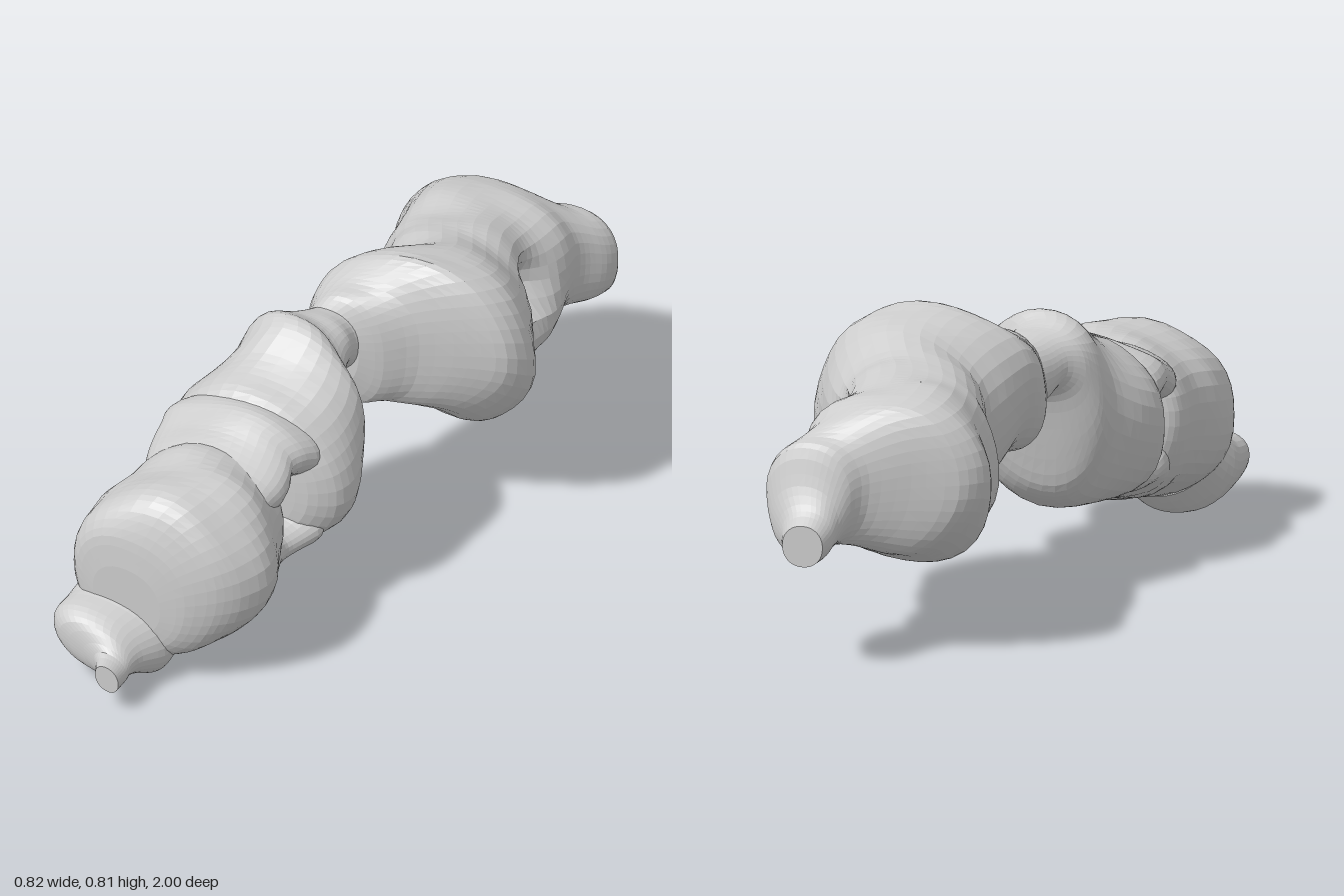
import * as THREE from 'three';

const SIDES = 36;
const STEPS = 3; // rings between two stations
const material = new THREE.MeshStandardMaterial({ color: 0xcccccc, roughness: 0.8, flatShading: true });

// Uneven, soft swelling of the wall
const lump = (x, y, z) =>
  0.009 * Math.sin(17 * x + 9 * z) * Math.cos(15 * y - 7 * z) +
  0.007 * Math.sin(31 * z + 8 * y) * Math.cos(13 * x + 5 * y);

// Lofts rounded sections from front to back; station = [z, xMin, xMax, yMin, yMax].
// lean slants each section, dents press pits into the wall
function loft(name, stations, { dents = [], bumpy = 1, lean = 0 } = {}) {
  const across = new THREE.CatmullRomCurve3(stations.map(s => new THREE.Vector3(s[1], s[2], s[0])), false, 'catmullrom', 0.4);
  const upright = new THREE.CatmullRomCurve3(stations.map(s => new THREE.Vector3(s[3], s[4], s[0])), false, 'catmullrom', 0.4);
  const rings = (stations.length - 1) * STEPS;
  const positions = [], index = [];

  for (let i = 0; i <= rings; i++) {
    const h = across.getPoint(i / rings), v = upright.getPoint(i / rings);
    const cx = (h.x + h.y) / 2, rx = Math.abs(h.y - h.x) / 2;
    const cy = (v.x + v.y) / 2, ry = Math.abs(v.y - v.x) / 2;
    for (let j = 0; j < SIDES; j++) {
      const a = (j / SIDES) * Math.PI * 2, c = Math.cos(a), s = Math.sin(a);
      let x = cx + rx * Math.sign(c) * Math.abs(c) ** 0.93;
      let y = cy + ry * Math.sign(s) * Math.abs(s) ** 0.93 + lean * (x - cx);
      const z = h.z;
      const swell = bumpy * lump(x, y, z) * Math.min(1, rx / 0.15);
      x += c * swell;
      y += s * swell;
      for (const d of dents) {
        const r2 = ((x - d.at[0]) ** 2 + (y - d.at[1]) ** 2 + (z - d.at[2]) ** 2) / d.radius ** 2;
        x -= d.depth * Math.exp(-r2);
      }
      positions.push(x, y, z);
    }
  }
  for (let i = 0; i < rings; i++) {
    for (let j = 0; j < SIDES; j++) {
      const k = (j + 1) % SIDES;
      const a = i * SIDES + j, b = i * SIDES + k, c = a + SIDES, d = b + SIDES;
      index.push(a, c, b, b, c, d);
    }
  }
  // Flat ends
  for (const end of [0, rings]) {
    const first = end * SIDES, m = positions.length / 3;
    const mid = [0, 0, 0];
    positions.slice(first * 3, (first + SIDES) * 3).forEach((p, n) => { mid[n % 3] += p / SIDES; });
    positions.push(...mid);
    for (let j = 0; j < SIDES; j++) {
      const a = first + j, b = first + (j + 1) % SIDES;
      if (end === 0) index.push(m, a, b);
      else index.push(m, b, a);
    }
  }
  const geometry = new THREE.BufferGeometry();
  geometry.setAttribute('position', new THREE.Float32BufferAttribute(positions, 3));
  geometry.setIndex(index);
  geometry.computeVertexNormals();
  const mesh = new THREE.Mesh(geometry, material);
  mesh.name = name;
  return mesh;
}

export function createModel() {
  const group = new THREE.Group();
  group.name = 'lobedTube';

  // Narrow front end with its cut opening
  group.add(loft('frontTip', [
    [1.0, -0.22, -0.15, 0.08, 0.155],
    [0.95, -0.25, -0.15, 0.08, 0.16],
    [0.92, -0.37, -0.15, 0.075, 0.205],
    [0.88, -0.41, -0.14, 0.06, 0.23],
    [0.82, -0.41, -0.11, 0.03, 0.25],
    [0.79, -0.40, -0.10, 0.025, 0.28],
    [0.74, -0.36, -0.08, 0.08, 0.34],
  ], { bumpy: 0.5, lean: -0.2 }));

  // First pouch
  group.add(loft('frontLobe', [
    [0.83, -0.32, -0.12, 0.16, 0.36],
    [0.82, -0.37, -0.05, 0.12, 0.45],
    [0.79, -0.40, 0.03, 0.09, 0.52],
    [0.75, -0.41, 0.08, 0.08, 0.55],
    [0.68, -0.40, 0.11, 0.085, 0.565],
    [0.60, -0.37, 0.115, 0.10, 0.575],
    [0.53, -0.36, 0.085, 0.12, 0.57],
    [0.48, -0.34, 0.06, 0.14, 0.56],
    [0.455, -0.30, 0.03, 0.17, 0.54],
    [0.445, -0.20, -0.06, 0.28, 0.45],
  ]));

  // Folds joining the first two pouches above and below the gap
  group.add(loft('upperFold', [
    [0.56, -0.31, 0.05, 0.38, 0.53],
    [0.49, -0.33, 0.06, 0.39, 0.56],
    [0.44, -0.34, 0.055, 0.41, 0.58],
    [0.40, -0.345, 0.05, 0.43, 0.60],
    [0.36, -0.355, 0.08, 0.42, 0.615],
    [0.31, -0.35, 0.10, 0.39, 0.61],
    [0.26, -0.29, 0.05, 0.38, 0.60],
  ]));
  group.add(loft('lowerFold', [
    [0.56, -0.31, 0.05, 0.14, 0.36],
    [0.49, -0.32, 0.06, 0.14, 0.35],
    [0.44, -0.33, 0.05, 0.155, 0.33],
    [0.40, -0.33, 0.05, 0.165, 0.31],
    [0.36, -0.33, 0.07, 0.175, 0.32],
    [0.31, -0.32, 0.09, 0.185, 0.35],
    [0.26, -0.27, 0.05, 0.21, 0.37],
  ]));

  // Second pouch, rising to the narrow neck
  group.add(loft('middleLobe', [
    [0.36, -0.23, -0.05, 0.29, 0.48],
    [0.35, -0.33, 0.07, 0.22, 0.58],
    [0.31, -0.37, 0.13, 0.18, 0.63],
    [0.25, -0.37, 0.15, 0.175, 0.655],
    [0.19, -0.34, 0.15, 0.19, 0.685],
    [0.13, -0.29, 0.13, 0.22, 0.735],
    [0.09, -0.28, 0.08, 0.27, 0.755],
    [0.06, -0.27, 0.03, 0.38, 0.74],
    [0.03, -0.25, 0.015, 0.51, 0.72],
    [0.0, -0.21, 0.01, 0.55, 0.71],
    [-0.04, -0.18, 0.005, 0.52, 0.70],
    [-0.10, -0.14, 0.04, 0.50, 0.70],
  ]));

  // Large rear pouch, pinched by a side pit, ending in a cut stub
  group.add(loft('rearLobe', [
    [-0.045, -0.16, 0.01, 0.46, 0.70],
    [-0.07, -0.165, 0.08, 0.40, 0.74],
    [-0.12, -0.18, 0.16, 0.40, 0.77],
    [-0.16, -0.18, 0.28, 0.395, 0.805],
    [-0.20, -0.17, 0.37, 0.37, 0.83],
    [-0.28, -0.13, 0.405, 0.30, 0.82],
    [-0.36, -0.10, 0.37, 0.26, 0.785],
    [-0.46, -0.15, 0.32, 0.24, 0.755],
    [-0.51, -0.18, 0.295, 0.235, 0.75],
    [-0.56, -0.19, 0.275, 0.235, 0.745],
    [-0.61, -0.20, 0.275, 0.24, 0.74],
    [-0.66, -0.21, 0.28, 0.25, 0.735],
    [-0.73, -0.21, 0.285, 0.285, 0.73],
    [-0.78, -0.17, 0.285, 0.305, 0.71],
    [-0.82, -0.05, 0.30, 0.32, 0.68],
    [-0.86, 0.05, 0.32, 0.33, 0.64],
    [-0.90, 0.09, 0.33, 0.33, 0.61],
    [-0.93, 0.12, 0.31, 0.32, 0.51],
    [-0.96, 0.13, 0.27, 0.315, 0.45],
    [-1.0, 0.14, 0.25, 0.31, 0.42],
  ], { dents: [{ at: [0.27, 0.54, -0.55], radius: 0.075, depth: 0.14 }] }));

  return group;
}
